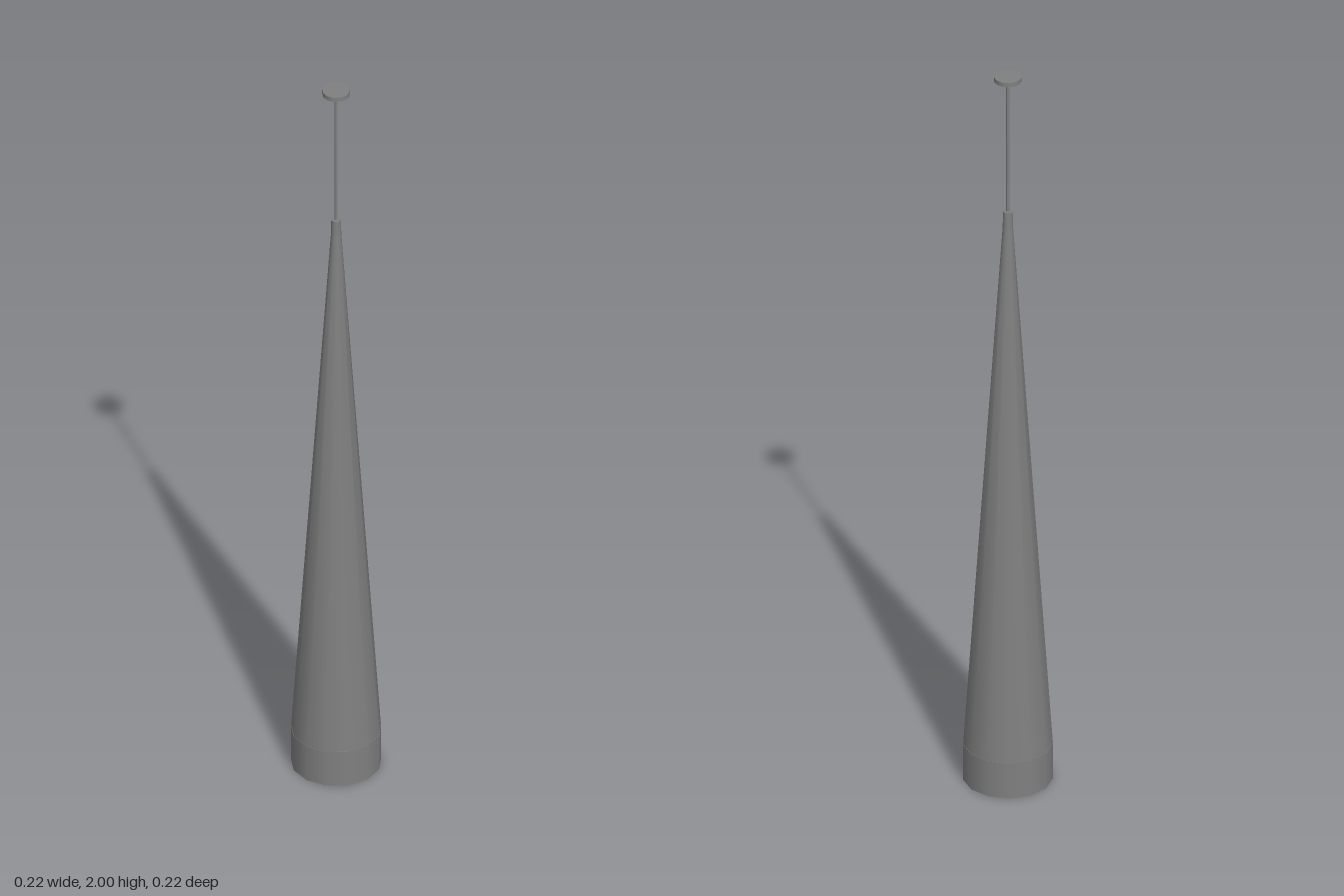
import * as THREE from 'three';

const SIDES = 13;
const AXIS_X = 0.0016; // an odd-sided ring is centred by its extents

export function createModel() {
  const group = new THREE.Group();
  const material = new THREE.MeshStandardMaterial({ color: 0x808080 });

  // Upright tapered section between two heights, with a corner towards -x
  function section(name, rBottom, rTop, y0, y1, open = false) {
    const geometry = new THREE.CylinderGeometry(rTop, rBottom, y1 - y0, SIDES, 1, open, -Math.PI / 2);
    const mesh = new THREE.Mesh(geometry, material);
    mesh.name = name;
    mesh.position.set(AXIS_X, (y0 + y1) / 2, 0);
    group.add(mesh);
  }

  // Pendant shade: straight rim, long cone and small collar
  section('shadeRim', 0.1128, 0.1128, 0, 0.1);
  section('shadeCone', 0.112, 0.013, 0.1, 1.57, true);
  section('cordCollar', 0.013, 0.012, 1.57, 1.615);

  // Suspension and ceiling mount
  section('cord', 0.004, 0.004, 1.61, 1.99);
  section('ceilingCanopy', 0.0345, 0.0345, 1.988, 2);

  return group;
}
